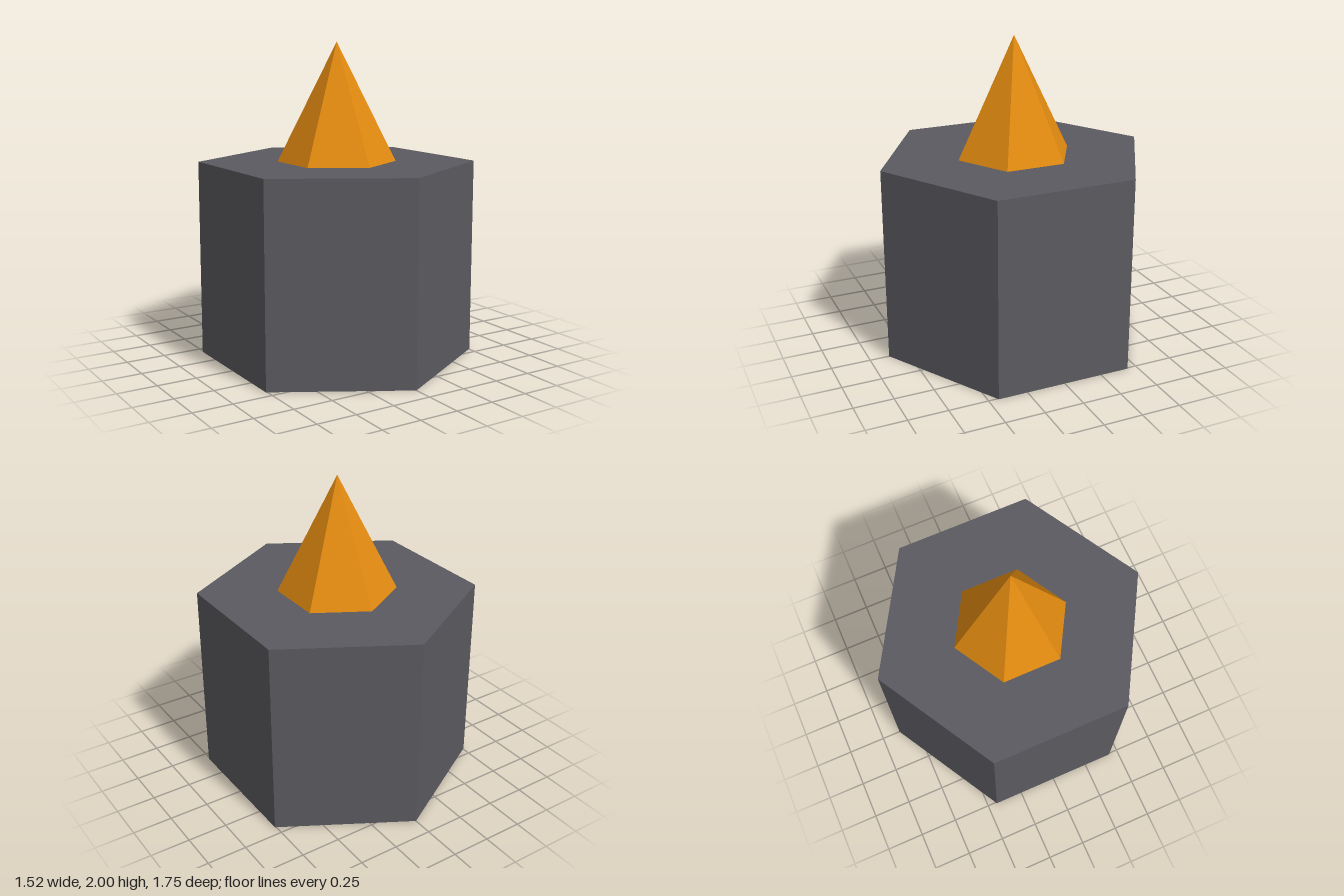
import * as THREE from 'three';

export function createModel() {
  const group = new THREE.Group();
  const grey = new THREE.MeshStandardMaterial({ color: 0x5a5a60, flatShading: true });
  grey.name = 'dark grey';
  const orange = new THREE.MeshStandardMaterial({ color: 0xe28a10, flatShading: true });
  orange.name = 'orange';

  const SIDES = 6;
  const BODY_HEIGHT = 1.25;
  const TIP_HEIGHT = 0.75;

  // Hexagonal block, corners towards +z and -z
  const body = new THREE.Mesh(new THREE.CylinderGeometry(0.875, 0.875, BODY_HEIGHT, SIDES), grey);
  body.name = 'body';
  body.position.y = BODY_HEIGHT / 2;

  // Six-sided spike standing on the block
  const spike = new THREE.Mesh(new THREE.ConeGeometry(0.375, TIP_HEIGHT, SIDES), orange);
  spike.name = 'spike';
  spike.position.y = BODY_HEIGHT + TIP_HEIGHT / 2;

  group.add(body, spike);
  return group;
}
